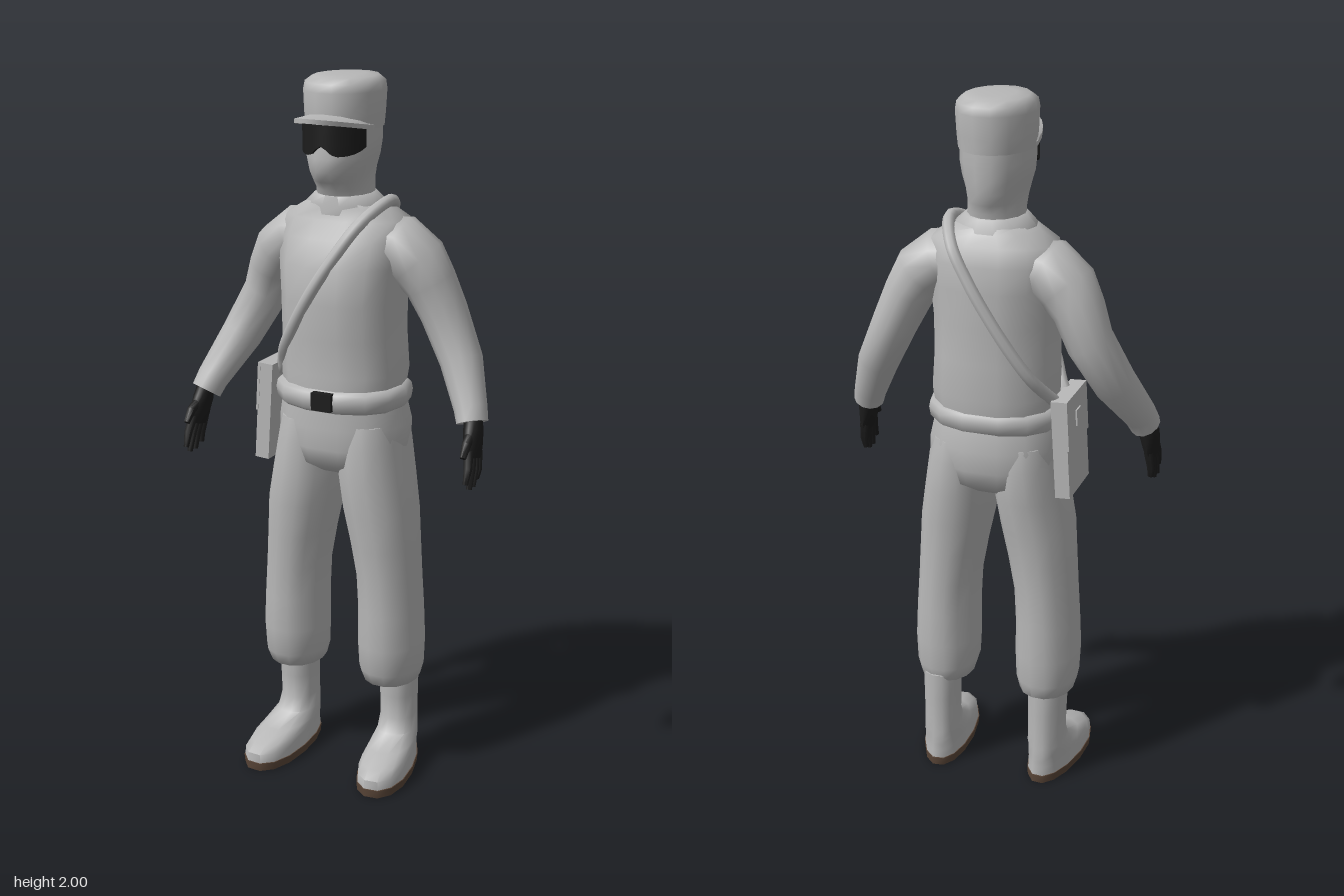
import * as THREE from 'three';
import { toCreasedNormals } from 'three/addons/utils/BufferGeometryUtils.js';

const V = (x, y, z) => new THREE.Vector3(x, y, z);
const spow = (c, n) => Math.sign(c) * Math.pow(Math.abs(c), 2 / n);

// Skin through rings {c, u, v}: centre and two half axes, with both ends capped
function loft(rings, n = 2, seg = 14) {
  const pos = [], idx = [];
  rings.forEach(({ c, u, v }) => {
    for (let i = 0; i < seg; i++) {
      const a = (i / seg) * Math.PI * 2;
      const p = c.clone().addScaledVector(u, spow(Math.cos(a), n)).addScaledVector(v, spow(Math.sin(a), n));
      pos.push(p.x, p.y, p.z);
    }
  });
  const last = rings.length - 1, c0 = rings.length * seg;
  [rings[0].c, rings[last].c].forEach((c) => pos.push(c.x, c.y, c.z));
  for (let i = 0; i < seg; i++) {
    const j = (i + 1) % seg;
    for (let r = 0; r < last; r++) {
      const a = r * seg + i, b = r * seg + j;
      idx.push(a, a + seg, b, b, a + seg, b + seg);
    }
    idx.push(c0, i, j, c0 + 1, last * seg + j, last * seg + i);
  }
  const g = new THREE.BufferGeometry();
  g.setAttribute('position', new THREE.Float32BufferAttribute(pos, 3));
  g.setIndex(idx);
  return g;
}

// Level rings, bottom to top: [y, x, z, half width, half depth]
const stack = (rows, n) => loft(rows.map(([y, x, z, rx, rz]) => ({ c: V(x, y, z), u: V(rx, 0, 0), v: V(0, 0, rz) })), n);

// Rings square to a path: [x, y, z, half depth, half width]
function limb(rows, seg = 12) {
  const c = rows.map((r) => V(r[0], r[1], r[2]));
  return loft(rows.map((r, i) => {
    const t = c[Math.min(i + 1, c.length - 1)].clone().sub(c[Math.max(i - 1, 0)]).normalize();
    const u = V(0, 0, 1).addScaledVector(t, -t.z).normalize();
    return { c: c[i], u: u.clone().multiplyScalar(r[3]), v: u.clone().cross(t).multiplyScalar(r[4]) };
  }), 2, seg);
}

// Move every vertex of a geometry by a rule
function warp(g, rule) {
  const p = g.attributes.position;
  for (let i = 0; i < p.count; i++) {
    const [x, y, z] = rule(p.getX(i), p.getY(i), p.getZ(i));
    p.setXYZ(i, x, y, z);
  }
  g.computeVertexNormals();
  return g;
}

const TORSO = [
  [1.10, 0, -0.04, 0.165, 0.14], [1.15, 0, -0.04, 0.172, 0.147], [1.2, 0, -0.045, 0.178, 0.148],
  [1.3, 0, -0.04, 0.172, 0.15], [1.4, 0, -0.038, 0.172, 0.153], [1.5, 0, -0.042, 0.18, 0.15],
  [1.57, 0, -0.055, 0.186, 0.133], [1.62, 0, -0.06, 0.175, 0.113], [1.65, 0, -0.055, 0.125, 0.1],
  [1.665, 0, -0.052, 0.1, 0.095],
];

// Front (side 1) or back (side -1) of the torso at x, y
function torsoZ(x, y, side) {
  const k = Math.max(1, TORSO.findIndex((r) => r[0] >= y));
  const a = TORSO[k - 1], b = TORSO[k], t = (y - a[0]) / (b[0] - a[0]);
  const [z, rx, rz] = [2, 3, 4].map((i) => a[i] + (b[i] - a[i]) * t);
  return z + side * rz * Math.pow(Math.max(0, 1 - Math.pow(Math.abs(x) / rx, 2.3)), 1 / 2.3);
}

export function createModel() {
  const mat = (name, color) => Object.assign(new THREE.MeshStandardMaterial({ color }), { name });
  const cloth = mat('grey cloth', 0xb8b8b8);
  const black = mat('black', 0x1c1c1c);
  const brown = mat('brown sole', 0x5a4638);

  const model = new THREE.Group();
  model.name = 'figure';
  const body = new THREE.Group();
  body.name = 'body';
  body.position.x = -0.01;
  model.add(body);
  const add = (name, g, m, parent = body) => {
    const mesh = new THREE.Mesh(toCreasedNormals(g, 0.95), m);
    mesh.name = name;
    parent.add(mesh);
    return mesh;
  };

  // Torso, collar and hips
  add('torso', stack(TORSO, 2.3), cloth);
  add('collar', stack([[1.635, 0, -0.055, 0.112, 0.105], [1.66, 0, -0.052, 0.112, 0.1],
    [1.685, 0, -0.048, 0.084, 0.092], [1.69, 0, -0.048, 0.07, 0.08]]), cloth);
  add('hips', stack([[0.91, 0, -0.045, 0.1, 0.09], [0.94, 0, -0.045, 0.17, 0.135], [0.99, 0, -0.045, 0.19, 0.148],
    [1.05, 0, -0.047, 0.189, 0.15], [1.12, 0, -0.04, 0.175, 0.142]], 2.2), cloth);

  // Belt
  add('belt', stack([[1.1, 0, -0.038, 0.175, 0.142], [1.11, 0, -0.038, 0.188, 0.153], [1.135, 0, -0.038, 0.192, 0.157],
    [1.155, 0, -0.038, 0.188, 0.153], [1.165, 0, -0.038, 0.172, 0.142]], 2.3), cloth);
  add('buckle', new THREE.BoxGeometry(0.06, 0.05, 0.02), black).position.set(0.01, 1.135, 0.116);

  // Head in a face wrap
  add('head', stack([[1.64, 0, -0.05, 0.08, 0.085], [1.7, 0, -0.045, 0.077, 0.09], [1.725, 0, -0.037, 0.076, 0.112],
    [1.755, 0, -0.031, 0.081, 0.127], [1.79, 0, -0.031, 0.092, 0.129], [1.83, 0, -0.035, 0.098, 0.126],
    [1.9, 0, -0.038, 0.098, 0.122]]), cloth);

  // Goggles wrapped round the eyes, with a nose notch
  add('goggles', warp(new THREE.BoxGeometry(2, 1, 1, 16, 3, 1), (x, y, z) => {
    const a = x * 1.15, r = z > 0 ? 1 : 0.85;
    const low = 1.798 + 0.028 * Math.exp(-((x / 0.2) ** 2)) + 0.022 * x ** 4;
    return [0.103 * r * Math.sin(a), low + (y + 0.5) * (1.878 - low), -0.035 + 0.139 * r * Math.cos(a)];
  }), black);

  // Cap and drooping peak
  add('cap', stack([[1.862, 0, -0.04, 0.1, 0.126], [1.9, 0, -0.04, 0.104, 0.128], [1.96, 0, -0.041, 0.107, 0.131],
    [1.982, 0, -0.042, 0.103, 0.127], [1.996, 0, -0.045, 0.085, 0.105], [2.0, 0, -0.045, 0.05, 0.06]]), cloth);
  add('capPeak', warp(new THREE.BoxGeometry(2, 0.012, 1, 12, 1, 3), (x, y, z) => {
    const a = x * 1.45, k = z + 0.5;
    return [(0.097 + 0.003 * k) * Math.sin(a), 1.9 + y - 0.038 * (1 - Math.cos(a)), -0.035 + (0.115 + 0.095 * k) * Math.cos(a)];
  }), cloth);

  for (const s of [1, -1]) {
    const side = s > 0 ? 'left' : 'right';
    const fwd = s > 0 ? 0 : 0.07; // the right forearm swings further forward

    // Arm and cuff
    add(side + 'Arm', limb([
      [0.07, 1.56, -0.06, 0.08, 0.07], [0.15, 1.55, -0.065, 0.098, 0.083], [0.205, 1.505, -0.072, 0.09, 0.082],
      [0.24, 1.45, -0.08, 0.08, 0.07], [0.275, 1.37, -0.092, 0.074, 0.064], [0.335, 1.245, -0.078 + fwd * 0.4, 0.064, 0.058],
      [0.385, 1.13, -0.03 + fwd * 0.9, 0.046, 0.046], [0.396, 1.095, -0.018 + fwd, 0.045, 0.043],
    ].map(([x, ...r]) => [s * x, ...r])), cloth);

    // Gloved hand: palm, four fingers and a thumb
    const hand = new THREE.Group();
    hand.name = side + 'Hand';
    hand.position.set(s * 0.398, 1.11, -0.02 + fwd);
    hand.rotation.set(-0.26, 0, s * 0.13);
    body.add(hand);
    add('palm', limb([[0, 0, 0, 0.028, 0.024], [0, -0.035, 0, 0.036, 0.026], [0, -0.08, 0.003, 0.046, 0.022],
      [0, -0.11, 0.003, 0.042, 0.017]]), black, hand);
    for (let f = 0; f < 4; f++) {
      const z = 0.034 - f * 0.021, tip = [-0.182, -0.195, -0.188, -0.168][f];
      add('finger', limb([[0, -0.09, z, 0.012, 0.014], [0, -0.14, z * 1.15, 0.011, 0.012],
        [-s * 0.006, tip, z * 1.25, 0.007, 0.008]], 7), black, hand);
    }
    add('thumb', limb([[0, -0.045, 0.02, 0.014, 0.014], [0, -0.075, 0.05, 0.014, 0.013],
      [-s * 0.004, -0.11, 0.066, 0.008, 0.009]], 7), black, hand);

    // Baggy trouser leg gathered at the shin
    add(side + 'Leg', stack([
      [0.275, 0.153, -0.047, 0.06, 0.08], [0.282, 0.153, -0.045, 0.078, 0.095], [0.32, 0.153, -0.04, 0.089, 0.107],
      [0.4, 0.153, -0.038, 0.092, 0.113], [0.5, 0.151, -0.038, 0.089, 0.113], [0.6, 0.145, -0.037, 0.088, 0.114],
      [0.7, 0.133, -0.036, 0.094, 0.12], [0.8, 0.119, -0.035, 0.102, 0.128], [0.9, 0.103, -0.04, 0.101, 0.138],
      [1.0, 0.095, -0.045, 0.092, 0.138], [1.06, 0.09, -0.045, 0.085, 0.13],
    ].map(([y, x, ...r]) => [y, s * x, ...r]), 2.1), cloth);

    // Boot and sole, wider at the toe, turned out
    const foot = new THREE.Group();
    foot.name = side + 'Foot';
    foot.position.set(s * 0.161, 0, s > 0 ? -0.08 : -0.07);
    foot.rotation.y = s > 0 ? 0.13 : -0.07;
    body.add(foot);
    const widen = (g) => warp(g, (x, y, z) => [x * (1 + 0.8 * z), y, z]);
    add('boot', widen(stack([[0.02, 0, 0.095, 0.066, 0.172], [0.05, 0, 0.095, 0.064, 0.17], [0.068, 0, 0.08, 0.062, 0.154],
      [0.085, 0, 0.045, 0.06, 0.118], [0.11, 0, 0.008, 0.055, 0.078], [0.15, 0, -0.002, 0.052, 0.066],
      [0.22, 0, 0, 0.053, 0.067], [0.3, 0, 0.002, 0.055, 0.07]], 2.2)), cloth, foot);
    add('sole', widen(stack([[0, 0, 0.095, 0.066, 0.173], [0.024, 0, 0.095, 0.068, 0.175]], 2.2)), brown, foot);
  }

  // Shoulder strap laid over chest, shoulder and back
  const line = [0.12, 0.3, 0.5, 0.7, 0.86, 1];
  const at = (t, side) => {
    const x = 0.12 - 0.29 * t, y = 1.675 - 0.475 * t;
    return V(x, y, torsoZ(x, y, side));
  };
  const strap = new THREE.CatmullRomCurve3([
    V(-0.19, 1.17, 0), ...line.map((t) => at(t, 1)).reverse(), V(0.125, 1.668, -0.055),
    ...line.map((t) => at(t, -1)), V(-0.19, 1.17, -0.07),
  ]);
  add('strap', new THREE.TubeGeometry(strap, 60, 0.017, 8), cloth);

  // Satchel on the right hip
  const bag = new THREE.Group();
  bag.name = 'satchel';
  bag.position.set(-0.207, 1.06, -0.035);
  bag.rotation.z = -0.06;
  body.add(bag);
  add('bagBody', new THREE.BoxGeometry(0.042, 0.28, 0.18), cloth, bag);
  add('bagFlap', new THREE.BoxGeometry(0.008, 0.14, 0.182), cloth, bag).position.set(-0.021, 0.07, 0);
  add('bagClasp', new THREE.BoxGeometry(0.009, 0.045, 0.04), cloth, bag).position.set(-0.025, 0.07, 0);

  return model;
}
